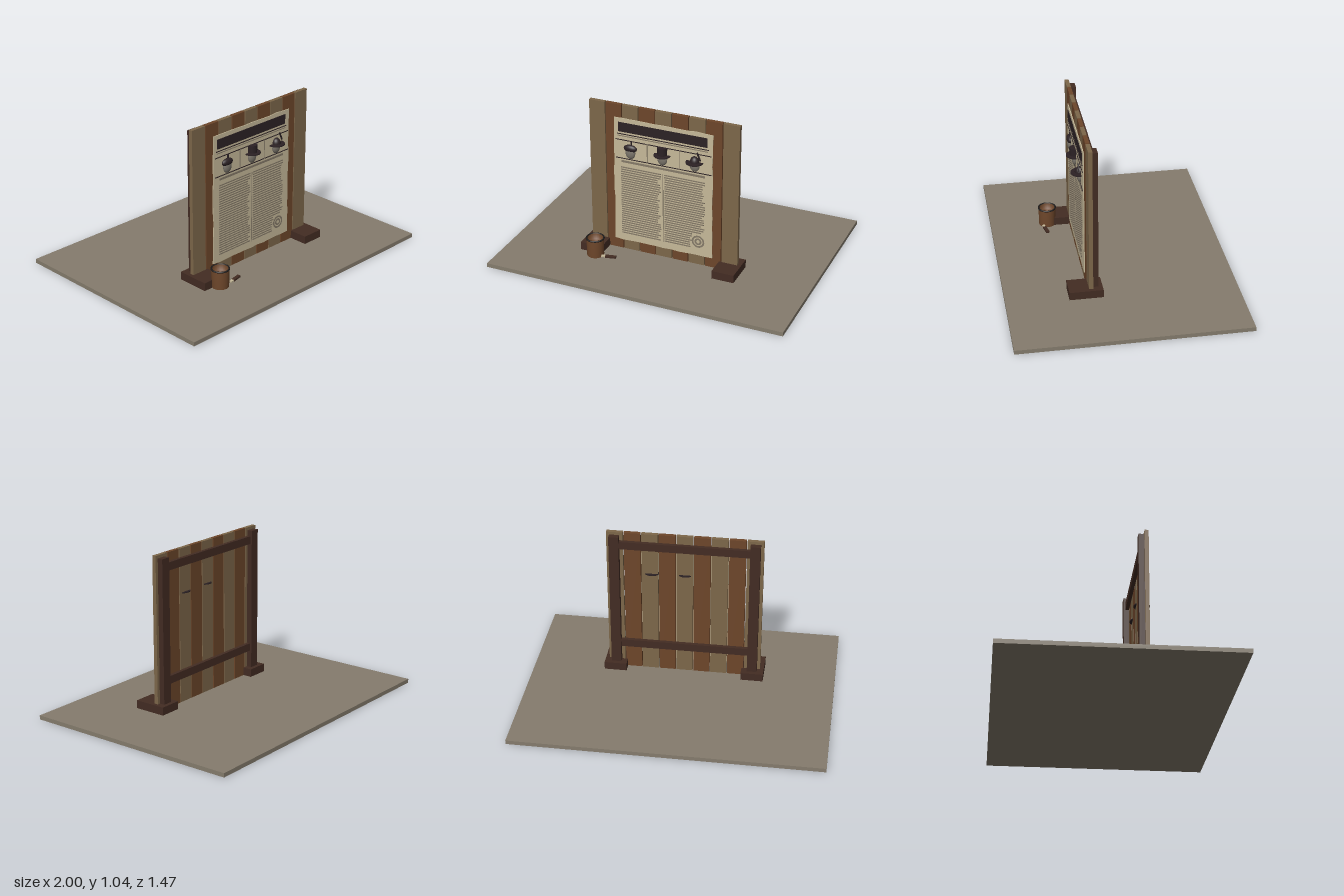
import * as THREE from 'three';
import { mergeGeometries } from 'three/addons/utils/BufferGeometryUtils.js';

const mat = (name, color, side = THREE.FrontSide) => {
  const m = new THREE.MeshStandardMaterial({ color, side });
  m.name = name;
  return m;
};

export function createModel() {
  const M = {
    stone: mat('stone', 0x857c6d),
    pale: mat('weathered plank', 0x7d674a),
    brown: mat('brown plank', 0x6d462a, THREE.DoubleSide),
    dark: mat('dark timber', 0x432c23),
    paper: mat('paper', 0xc6b999),
    ink: mat('black ink', 0x2c2225),
    text: mat('text grey', 0x857a68),
    head: mat('head grey', 0x7c766c),
    iron: mat('iron', 0x1e1c1c),
  };
  const root = new THREE.Group();
  root.name = 'noticeBoard';
  const add = (name, geo, m, x = 0, y = 0, z = 0, parent = root) => {
    const mesh = new THREE.Mesh(geo, m);
    mesh.name = name;
    mesh.position.set(x, y, z);
    parent.add(mesh);
    return mesh;
  };
  // Box given by its limits
  const span = (name, m, x0, x1, y0, y1, z0, z1, parent = root) =>
    add(name, new THREE.BoxGeometry(x1 - x0, y1 - y0, z1 - z0), m,
      (x0 + x1) / 2, (y0 + y1) / 2, (z0 + z1) / 2, parent);
  let seed = 7;
  const rand = () => (seed = (seed * 16807) % 2147483647) / 2147483647;

  span('ground', M.stone, -1, 1, 0, 0.027, -0.735, 0.735);

  // Upright planks in alternating wood, with narrow gaps
  for (let i = 0; i < 9; i++) {
    const x = (i - 4) * 0.1128;
    span('plank', i % 2 ? M.brown : M.pale, x - 0.0535, x + 0.0535, 0.027, 1.045, 0.184, 0.21);
  }

  // Posts, feet and rails behind the planks
  for (const s of [-1, 1]) {
    add('post', new THREE.BoxGeometry(0.065, 0.999, 0.036), M.dark, s * 0.452, 0.5265, 0.166);
    add('foot', new THREE.BoxGeometry(0.148, 0.053, 0.215), M.dark, s * 0.455, 0.0535, 0.2295);
  }
  for (const y of [0.222, 0.963])
    add('rail', new THREE.BoxGeometry(0.9, 0.052, 0.024), M.dark, 0, y, 0.172);

  // Poster sheet with slightly ragged edges
  const poster = new THREE.Group();
  poster.name = 'poster';
  root.add(poster);
  const corners = [[-0.335, 0.095], [0.333, 0.095], [0.333, 0.958], [-0.335, 0.958]];
  const outline = [];
  corners.forEach(([x0, y0], i) => {
    const [x1, y1] = corners[(i + 1) % 4];
    for (let k = 0; k < 12; k++) {
      const t = k / 12;
      outline.push(new THREE.Vector2(
        x0 + (x1 - x0) * t + (rand() - 0.5) * 0.007,
        y0 + (y1 - y0) * t + (rand() - 0.5) * 0.007));
    }
  });
  add('paperSheet', new THREE.ExtrudeGeometry(new THREE.Shape(outline),
    { depth: 0.006, bevelEnabled: false }), M.paper, 0, 0, 0.211, poster);

  // Printed bars and rules
  const print = (name, m, x0, x1, y0, y1) =>
    span(name, m, x0, x1, y0, y1, 0.2165, 0.22, poster);
  print('titleBar', M.ink, -0.302, 0.297, 0.867, 0.931);
  print('titleRule', M.ink, -0.312, 0.308, 0.849, 0.854);
  print('titleRule', M.text, -0.308, 0.302, 0.836, 0.841);
  for (const y of [0.683, 0.811])
    for (const x of [-0.216, 0.002, 0.22])
      print('panelRule', M.ink, x - 0.106, x + 0.106, y - 0.0025, y + 0.0025);
  for (const x of [-0.107, 0.111]) print('panelDivider', M.text, x - 0.0015, x + 0.0015, 0.683, 0.811);
  print('captionBar', M.text, -0.285, 0.283, 0.655, 0.669);
  print('columnDivider', M.text, -0.0015, 0.0015, 0.14, 0.625);

  // Two columns of text lines; the right one stops short of the seal
  const lines = [];
  for (let i = 0; i < 31; i++) {
    const y = 0.62 - i * 0.0157;
    for (const x0 of [-0.288, 0.01]) {
      const nearSeal = x0 > 0 && y < 0.25;
      const w = (nearSeal ? 0.165 : 0.25) + rand() * 0.026;
      lines.push(new THREE.BoxGeometry(w, 0.0075, 0.003).translate(x0 + w / 2, y, 0.2185));
    }
  }
  add('textLines', mergeGeometries(lines), M.text, 0, 0, 0, poster);

  // Round seal
  const sealZ = 0.2205;
  add('sealRing', new THREE.RingGeometry(0.031, 0.043, 32), M.text, 0.241, 0.197, sealZ, poster);
  add('sealCentre', new THREE.RingGeometry(0.012, 0.024, 24), M.text, 0.241, 0.197, sealZ, poster);

  // Three heads in relief, each with its own hat
  const portraits = [-0.22, -0.002, 0.215].map((x) => {
    const g = new THREE.Group();
    g.name = 'portrait';
    g.position.set(x, 0, 0.221);
    poster.add(g);
    const head = add('head', new THREE.SphereGeometry(1, 20, 14), M.head, 0, 0.733, 0, g);
    head.scale.set(0.033, 0.043, 0.018);
    return g;
  });
  const [capMan, topHatMan, featherMan] = portraits;
  add('cap', new THREE.SphereGeometry(1, 20, 12), M.ink, 0, 0.762, 0, capMan)
    .scale.set(0.045, 0.025, 0.02);
  add('capStalk', new THREE.BoxGeometry(0.008, 0.028, 0.008), M.ink, 0.006, 0.797, 0, capMan);
  add('hatBrim', new THREE.CylinderGeometry(0.054, 0.054, 0.007, 28), M.ink, 0, 0.76, 0, topHatMan);
  add('hatCrown', new THREE.CylinderGeometry(0.033, 0.031, 0.053, 24), M.ink, 0, 0.787, 0, topHatMan);
  add('hatBrim', new THREE.CylinderGeometry(0.056, 0.056, 0.007, 28), M.ink, 0, 0.754, 0, featherMan);
  add('hatDome', new THREE.SphereGeometry(0.03, 20, 10, 0, Math.PI * 2, 0, Math.PI / 2), M.ink,
    0, 0.757, 0, featherMan).scale.y = 1.25;
  add('feather', new THREE.BoxGeometry(0.009, 0.058, 0.006), M.ink, 0.031, 0.8, 0.01, featherMan)
    .rotation.z = 0.4;

  // Paste bucket with iron rim
  const bucket = new THREE.Group();
  bucket.name = 'bucket';
  bucket.position.set(-0.415, 0.027, 0.356);
  root.add(bucket);
  const profile = [[0, 0], [0.055, 0], [0.055, 0], [0.057, 0.123], [0.05, 0.123], [0.049, 0.085], [0, 0.085]]
    .map(([r, y]) => new THREE.Vector2(r, y));
  add('bucketBody', new THREE.LatheGeometry(profile, 24), M.brown, 0, 0, 0, bucket);
  add('bucketRim', new THREE.TorusGeometry(0.056, 0.0055, 8, 28), M.iron, 0, 0.122, 0, bucket)
    .rotation.x = Math.PI / 2;

  // Brush lying beside the bucket
  const brush = new THREE.Group();
  brush.name = 'brush';
  brush.position.set(-0.31, 0.046, 0.379);
  brush.rotation.y = 0.2;
  root.add(brush);
  add('brushHandle', new THREE.BoxGeometry(0.07, 0.012, 0.022), M.dark, 0.012, 0, 0, brush);
  add('brushBristles', new THREE.BoxGeometry(0.026, 0.009, 0.017), M.paper, -0.036, 0, 0, brush);

  return root;
}
